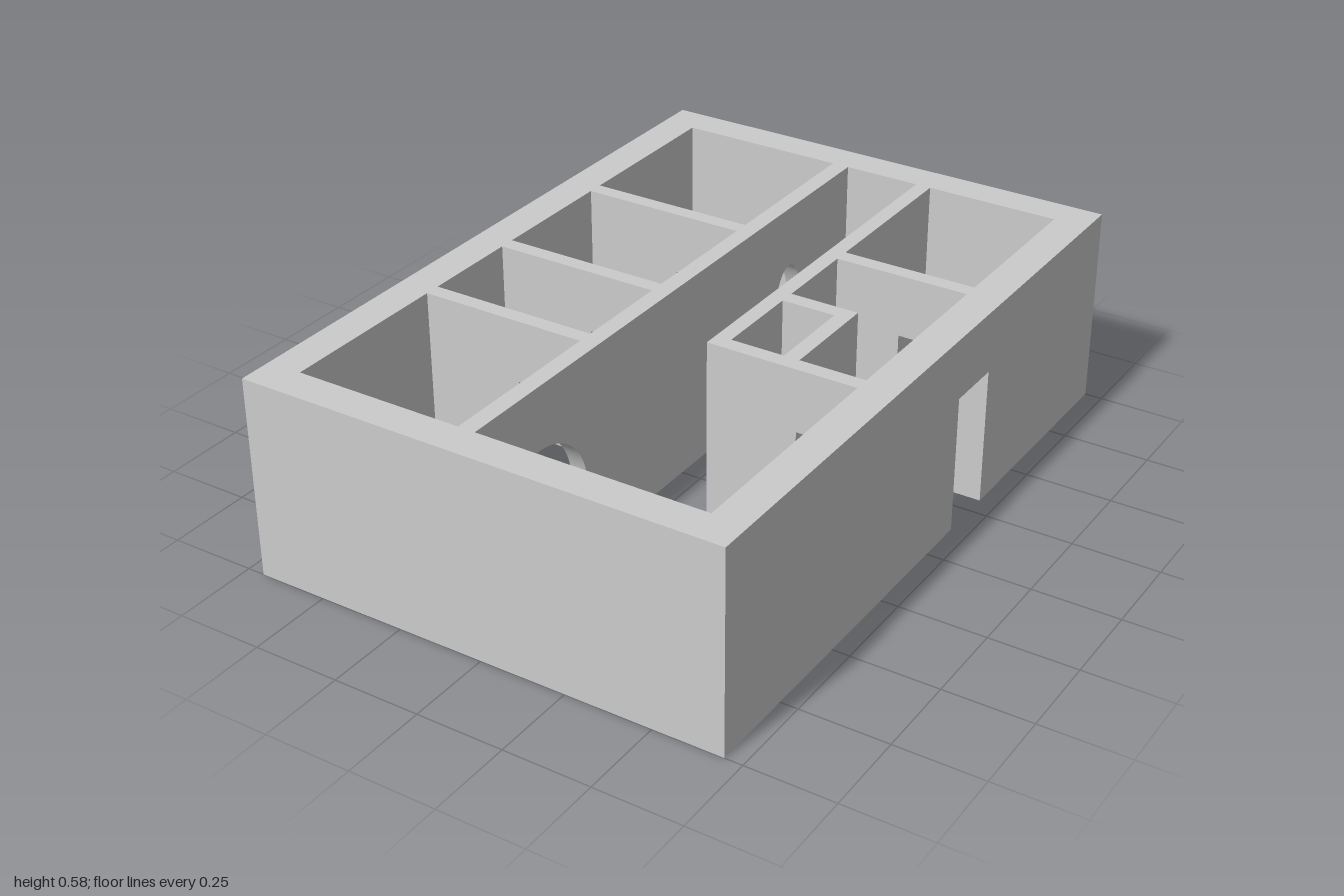
import * as THREE from 'three';
import { toCreasedNormals } from 'three/addons/utils/BufferGeometryUtils.js';

const HEIGHT = 0.58;
const DOOR = 0.4;    // height of every opening
const SPRING = 0.2;  // height where the arches start to curve

const door = (from, to) => ({ from, to });
const arch = (from, to) => ({ from, to, arched: true });

export function createModel() {
  const house = new THREE.Group();
  house.name = 'floorPlan';
  const material = new THREE.MeshStandardMaterial({ color: 0xcccccc });

  // Upright wall from a to b, with openings cut up from the ground in order
  function wallGeometry(a, b, thickness, openings) {
    const s = new THREE.Shape();
    s.moveTo(a, 0);
    for (const o of openings) {
      s.lineTo(o.from, 0);
      if (o.arched) {
        const r = (o.to - o.from) / 2;
        s.lineTo(o.from, SPRING);
        s.absellipse(o.from + r, SPRING, r, DOOR - SPRING, Math.PI, 0, true);
      } else {
        s.lineTo(o.from, DOOR);
        s.lineTo(o.to, DOOR);
      }
      s.lineTo(o.to, 0);
    }
    s.lineTo(b, 0);
    s.lineTo(b, HEIGHT);
    s.lineTo(a, HEIGHT);
    s.closePath();
    const g = new THREE.ExtrudeGeometry(s, { depth: thickness, bevelEnabled: false, curveSegments: 24 });
    return toCreasedNormals(g, 0.5);
  }

  function add(name, geometry) {
    const mesh = new THREE.Mesh(geometry, material);
    mesh.name = name;
    house.add(mesh);
  }

  // Wall running along x, between depths z0 and z1
  function wallX(name, x0, x1, z0, z1, openings = []) {
    add(name, wallGeometry(x0, x1, z1 - z0, openings).translate(0, 0, z0));
  }

  // Wall running along z, between x0 and x1
  function wallZ(name, z0, z1, x0, x1, openings = []) {
    add(name, wallGeometry(z0, z1, x1 - x0, openings).rotateY(-Math.PI / 2).translate(x1, 0, 0));
  }

  // Thick outer walls, with the entrance in the +x side
  wallZ('entranceWall', -1, 1, 0.6, 0.7, [door(-0.31, -0.14)]);
  wallZ('sideWall', -1, 1, -0.7, -0.6);
  wallX('frontWall', -0.6, 0.6, 0.9, 1);
  wallX('backWall', -0.6, 0.6, -1, -0.9);

  // Long corridor walls with arches
  wallZ('corridorLongWall', -0.9, 0.9, -0.11, -0.06, [arch(-0.65, -0.48), arch(0.45, 0.86)]);
  wallZ('corridorShortWall', -0.9, 0.23, 0.165, 0.21, [arch(-0.312, -0.14)]);

  // Partitions between the row of four rooms, joined by doors
  for (const [z0, z1] of [[-0.405, -0.36], [0.02, 0.065], [0.35, 0.395]]) {
    wallX('roomPartition', -0.6, -0.11, z0, z1, [door(-0.31, -0.14)]);
  }

  // Entrance hall side: back room partition and wall towards the large room
  wallX('backRoomPartition', 0.21, 0.6, -0.405, -0.36, [door(0.405, 0.575)]);
  wallX('hallPartition', 0.21, 0.6, 0.185, 0.23, [door(0.43, 0.595)]);

  // Small closet
  wallX('closetBackWall', 0.21, 0.41, -0.115, -0.07);
  wallZ('closetSideWall', -0.07, 0.185, 0.365, 0.41, [door(-0.03, 0.14)]);

  return house;
}
